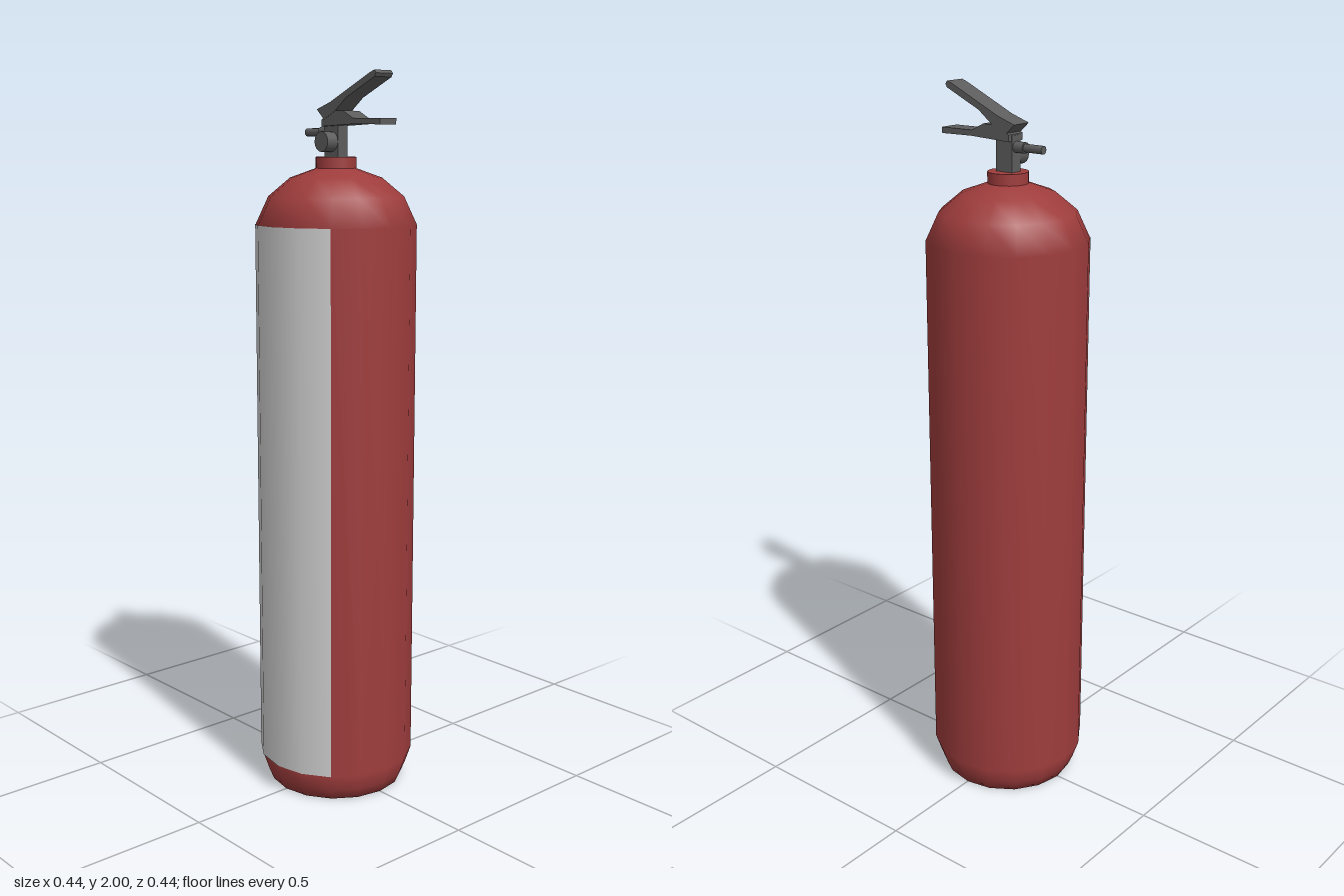
import * as THREE from 'three';

const red = new THREE.MeshStandardMaterial({ color: 0x9e3c3c });
const grey = new THREE.MeshStandardMaterial({ color: 0xcccccc, side: THREE.DoubleSide });
const dark = new THREE.MeshStandardMaterial({ color: 0x5c5c5c });

const points = (list) => list.map(([x, y]) => new THREE.Vector2(x, y));

export function createModel() {
  const model = new THREE.Group();
  model.name = 'fireExtinguisher';

  function add(name, geometry, material, x = 0, y = 0, z = 0) {
    const mesh = new THREE.Mesh(geometry, material);
    mesh.name = name;
    mesh.position.set(x, y, z);
    model.add(mesh);
    return mesh;
  }

  // Side outline in x and y, extruded evenly about z = 0
  function plate(name, outline, width) {
    const geometry = new THREE.ExtrudeGeometry(new THREE.Shape(points(outline)), { depth: width, bevelEnabled: false });
    return add(name, geometry, dark, 0, 0, -width / 2);
  }

  // Tank with a shallow hollow base and a domed shoulder
  const tank = points([
    [0, 0.03], [0.13, 0.022], [0.19, 0], [0.203, 0.03], [0.22, 0.08], [0.22, 1.6],
    [0.185, 1.675], [0.125, 1.725], [0.055, 1.75],
  ]);
  add('tank', new THREE.LatheGeometry(tank, 16), red);
  add('neckCollar', new THREE.CylinderGeometry(0.055, 0.055, 0.04, 16), red, 0, 1.76, 0);

  // Label wrapped over the front quarter of the tank
  const label = points([[0.2215, 0.08], [0.2215, 1.6]]);
  add('label', new THREE.LatheGeometry(label, 4, -Math.PI / 4, Math.PI / 2), grey);

  // Valve block with a gauge on the front
  add('valveBlock', new THREE.BoxGeometry(0.054, 0.1, 0.034), dark, 0, 1.825, 0);
  add('gauge', new THREE.CylinderGeometry(0.027, 0.027, 0.04, 16), dark, 0, 1.82, 0.033).rotation.x = Math.PI / 2;

  // Outlet pipe on the side
  add('outletCollar', new THREE.CylinderGeometry(0.015, 0.015, 0.04, 12), dark, -0.038, 1.845, 0).rotation.z = Math.PI / 2;
  add('outletPipe', new THREE.CylinderGeometry(0.011, 0.011, 0.08, 12), dark, -0.077, 1.845, 0).rotation.z = Math.PI / 2;

  // Fixed carrying handle and the squeeze lever above it
  plate('carryHandle', [
    [-0.025, 1.86], [0.1, 1.865], [0.203, 1.863], [0.203, 1.879], [0.1, 1.88], [0.06, 1.9], [0.015, 1.9], [-0.025, 1.878],
  ], 0.058);
  plate('squeezeLever', [
    [-0.044, 1.905], [-0.015, 1.878], [0.03, 1.9], [0.075, 1.934], [0.183, 1.983], [0.188, 1.992], [0.182, 2], [0.165, 1.994], [0.01, 1.923],
  ], 0.06);

  return model;
}
